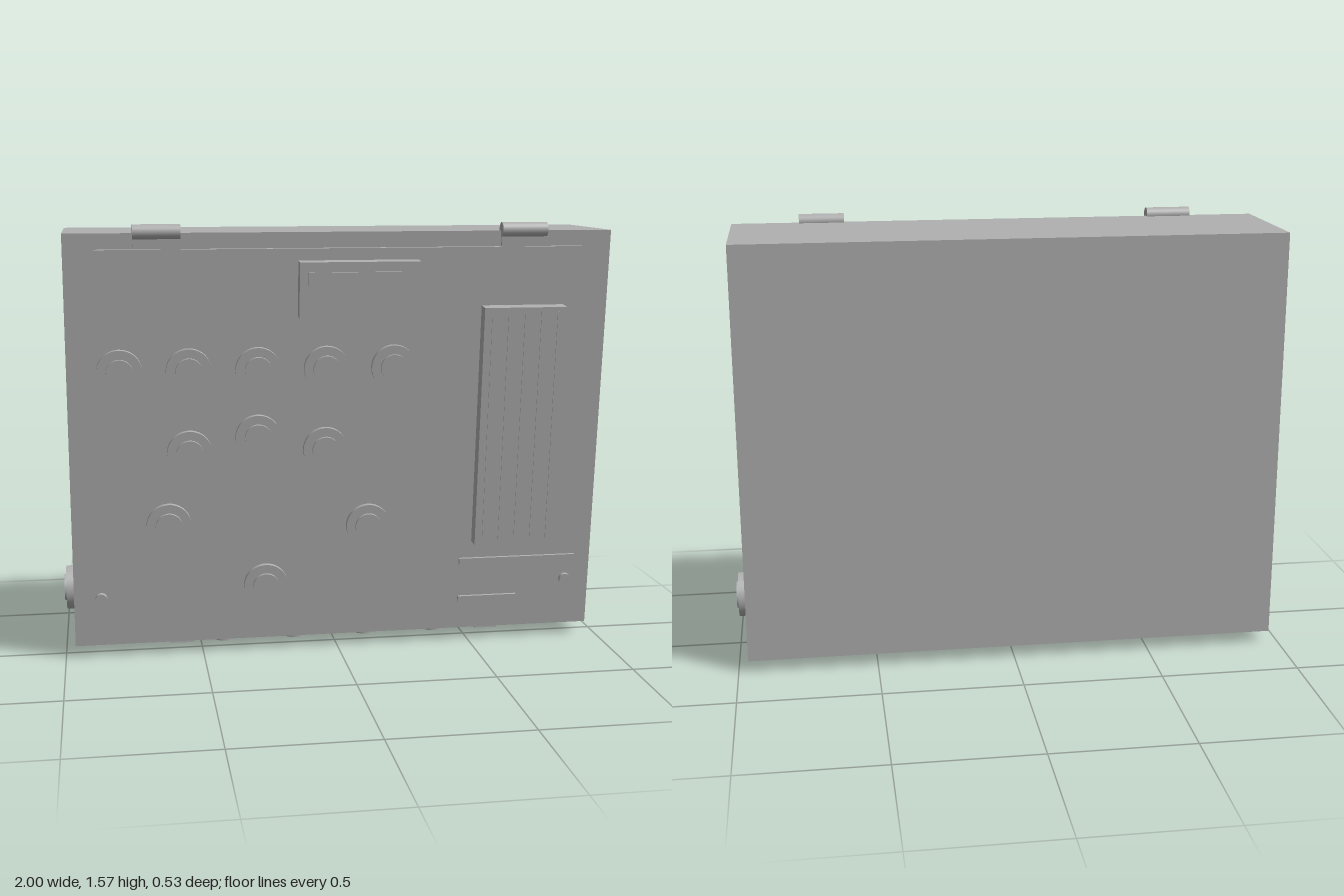
import * as THREE from 'three';

const grey = new THREE.MeshStandardMaterial({ color: 0xb0b0b0 });
grey.name = 'plain grey';

const BOTTOM = 0.045, TOP = 1.545, BACK = -0.265, LOW_FRONT = 0.06, HIGH_FRONT = 0.215;
const TILT = Math.atan2(HIGH_FRONT - LOW_FRONT, TOP - BOTTOM);

function add(parent, name, geometry, x = 0, y = 0, z = 0) {
  const mesh = new THREE.Mesh(geometry, grey);
  mesh.name = name;
  mesh.position.set(x, y, z);
  parent.add(mesh);
  return mesh;
}

// Round button built along +z: a wide collar with a smaller cap
function button(name, radius, start, collarEnd, capEnd) {
  const group = new THREE.Group();
  group.name = name;
  const disc = (part, r, from, to) =>
    add(group, part, new THREE.CylinderGeometry(r, r, to - from, 40).rotateX(Math.PI / 2), 0, 0, (from + to) / 2);
  disc('collar', radius, start, collarEnd);
  disc('cap', radius * 0.6, collarEnd, capEnd);
  return group;
}

export function createModel() {
  const model = new THREE.Group();
  model.name = 'controlBox';

  // Wedge-shaped body, profile drawn in (z, y) and extruded across x
  const profile = new THREE.Shape([
    new THREE.Vector2(-BACK, BOTTOM), new THREE.Vector2(-BACK, TOP),
    new THREE.Vector2(-HIGH_FRONT, TOP), new THREE.Vector2(-LOW_FRONT, BOTTOM),
  ]);
  const body = new THREE.ExtrudeGeometry(profile, { depth: 1.93, bevelEnabled: false });
  body.translate(0, 0, -0.965).rotateY(Math.PI / 2);
  add(model, 'body', body);

  // Sloping front: local y runs up the slope, local z points out of it
  const face = new THREE.Group();
  face.name = 'frontPanel';
  face.position.set(0, BOTTOM, LOW_FRONT);
  face.rotation.x = TILT;
  model.add(face);
  const slope = (y, out) => (y - BOTTOM + out * Math.sin(TILT)) / Math.cos(TILT);
  const plate = (name, x0, x1, y0, y1, z0, z1) => {
    const out = (z0 + z1) / 2, low = slope(y0, out), high = slope(y1, out);
    return add(face, name, new THREE.BoxGeometry(x1 - x0, high - low, z1 - z0), (x0 + x1) / 2, (low + high) / 2, out);
  };

  plate('topStrip', -0.86, 0.855, 1.465, 1.49, 0.012, 0.024);
  plate('displayBezel', -0.16, 0.265, 1.25, 1.445, 0.01, 0.052);
  plate('displayScreen', -0.13, 0.23, 1.285, 1.408, 0.054, 0.06);
  plate('upperLabelBar', 0.455, 0.90, 0.303, 0.328, 0.012, 0.022);
  plate('lowerLabelBar', 0.455, 0.68, 0.153, 0.178, 0.012, 0.022);

  // Tall ribbed panel
  plate('sidePanel', 0.50, 0.80, 0.392, 1.278, 0.01, 0.06);
  for (let i = 0; i < 5; i++) {
    const x = 0.53 + i * 0.06;
    plate('panelRib', x - 0.003, x + 0.003, 0.41, 1.26, 0.06, 0.063);
  }

  // Front buttons
  const spots = [
    [-0.783, 1.064], [-0.543, 1.064], [-0.30, 1.064], [-0.057, 1.064], [0.185, 1.064],
    [-0.543, 0.768], [-0.30, 0.82], [-0.057, 0.768],
    [-0.62, 0.50], [0.105, 0.473], [-0.27, 0.257],
  ];
  for (const [x, y] of spots) {
    const b = button('frontButton', 0.08, 0.01, 0.027, 0.038);
    b.position.set(x, slope(y, 0.027), 0);
    face.add(b);
  }

  // Screws in the lower corners
  for (const x of [-0.867, 0.867]) {
    const screw = new THREE.CylinderGeometry(0.021, 0.021, 0.016, 24).rotateX(Math.PI / 2);
    add(face, 'screw', screw, x, slope(0.23, 0.02), 0.02);
  }

  // Hinges: barrel along the top edge with a short leaf
  for (const x of [-0.647, 0.642]) {
    const barrel = new THREE.CylinderGeometry(0.026, 0.026, 0.163, 32).rotateZ(Math.PI / 2);
    add(model, 'hingeBarrel', barrel, x, 1.549, 0.222);
    plate('hingeLeaf', x - 0.0815, x + 0.0815, 1.49, 1.545, 0.01, 0.018);
  }

  // Side buttons
  for (const side of [-1, 1]) {
    const b = button('sideButton', 0.08, 0.964, 0.993, 1.0);
    b.rotation.y = side * Math.PI / 2;
    b.position.set(0, 0.23, -0.08);
    model.add(b);
  }

  // Buttons and small pads underneath
  for (const x of [-0.406, -0.136, 0.133, 0.402]) {
    const b = button('bottomButton', 0.08, -0.001, 0.03, 0.044);
    b.rotation.x = Math.PI / 2;
    b.position.set(x, BOTTOM, -0.1);
    model.add(b);
  }
  for (const x of [-0.578, 0.578]) {
    add(model, 'bottomPad', new THREE.BoxGeometry(0.084, 0.012, 0.056), x, 0.039, 0.013);
  }

  return model;
}
